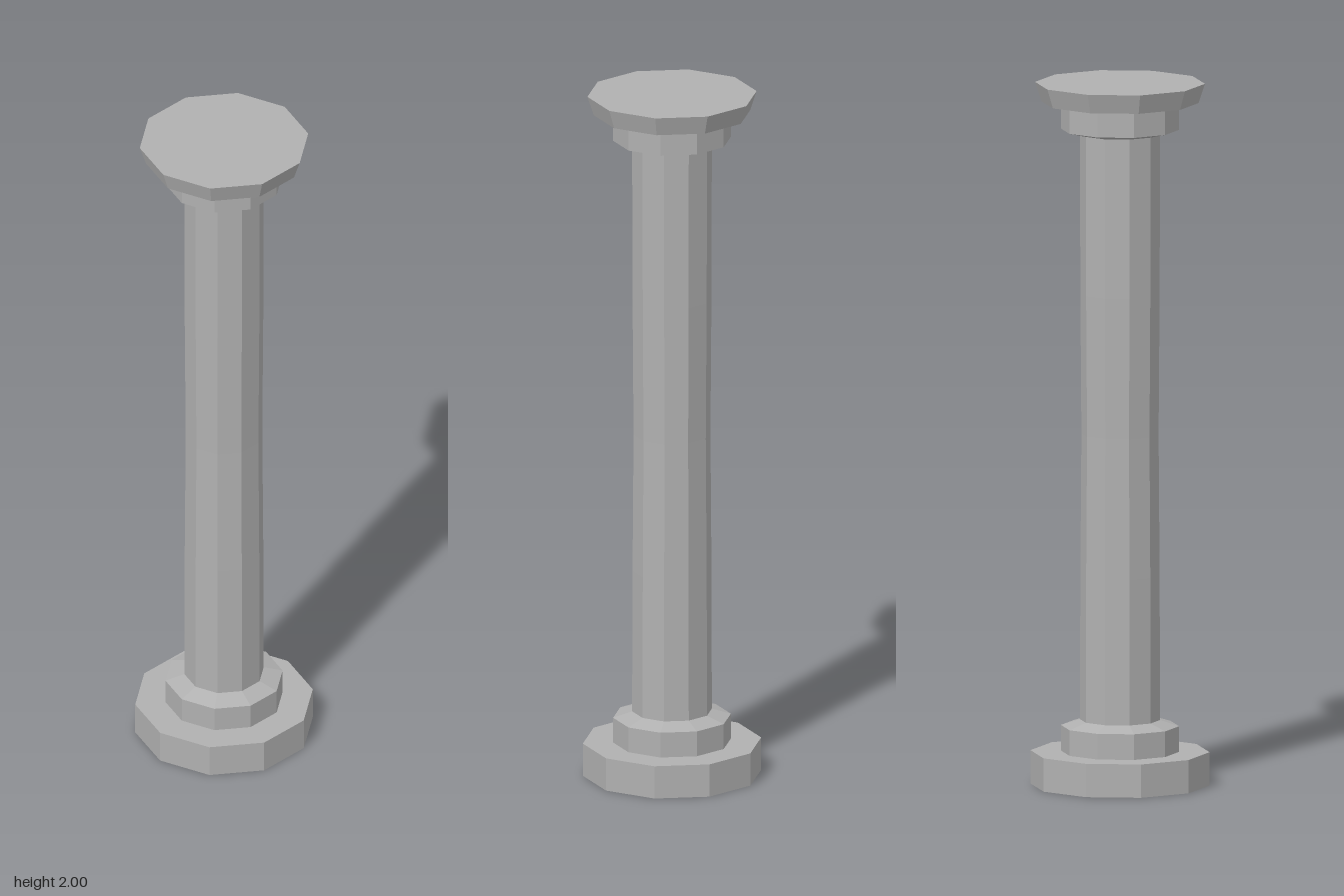
import * as THREE from 'three';

const SIDES = 10;

// Gives every facet its own flat normal
function faceted(geometry) {
  const flat = geometry.toNonIndexed();
  flat.computeVertexNormals();
  return flat;
}

export function createModel() {
  const group = new THREE.Group();
  group.name = 'column';
  const stone = new THREE.MeshStandardMaterial({ color: 0xb0b0b0 });
  stone.name = 'grey stone';

  const add = (name, geometry) => {
    const mesh = new THREE.Mesh(faceted(geometry), stone);
    mesh.name = name;
    group.add(mesh);
  };

  // Ten-sided slab with a corner on the +x axis
  const slab = (name, bottomRadius, topRadius, y0, y1) => {
    const g = new THREE.CylinderGeometry(topRadius, bottomRadius, y1 - y0, SIDES, 1, false, Math.PI / 2);
    g.translate(0, (y0 + y1) / 2, 0);
    add(name, g);
  };

  // Ten-sided turned piece from [radius, height] pairs, bottom to top
  const turned = (name, profile) => {
    const points = profile.map(([r, y]) => new THREE.Vector2(r, y));
    add(name, new THREE.LatheGeometry(points, SIDES, Math.PI / 2));
  };

  slab('base', 0.253, 0.253, 0, 0.095);
  turned('lowerRing', [[0.167, 0.095], [0.167, 0.168], [0.113, 0.185]]);

  // Shaft, very slightly waisted
  turned('shaft', [[0.113, 0.185], [0.112, 0.6], [0.109, 1.0], [0.112, 1.4], [0.113, 1.855]]);

  turned('upperRing', [[0.113, 1.855], [0.167, 1.868], [0.167, 1.945]]);
  slab('capital', 0.222, 0.24, 1.945, 2);

  return group;
}
